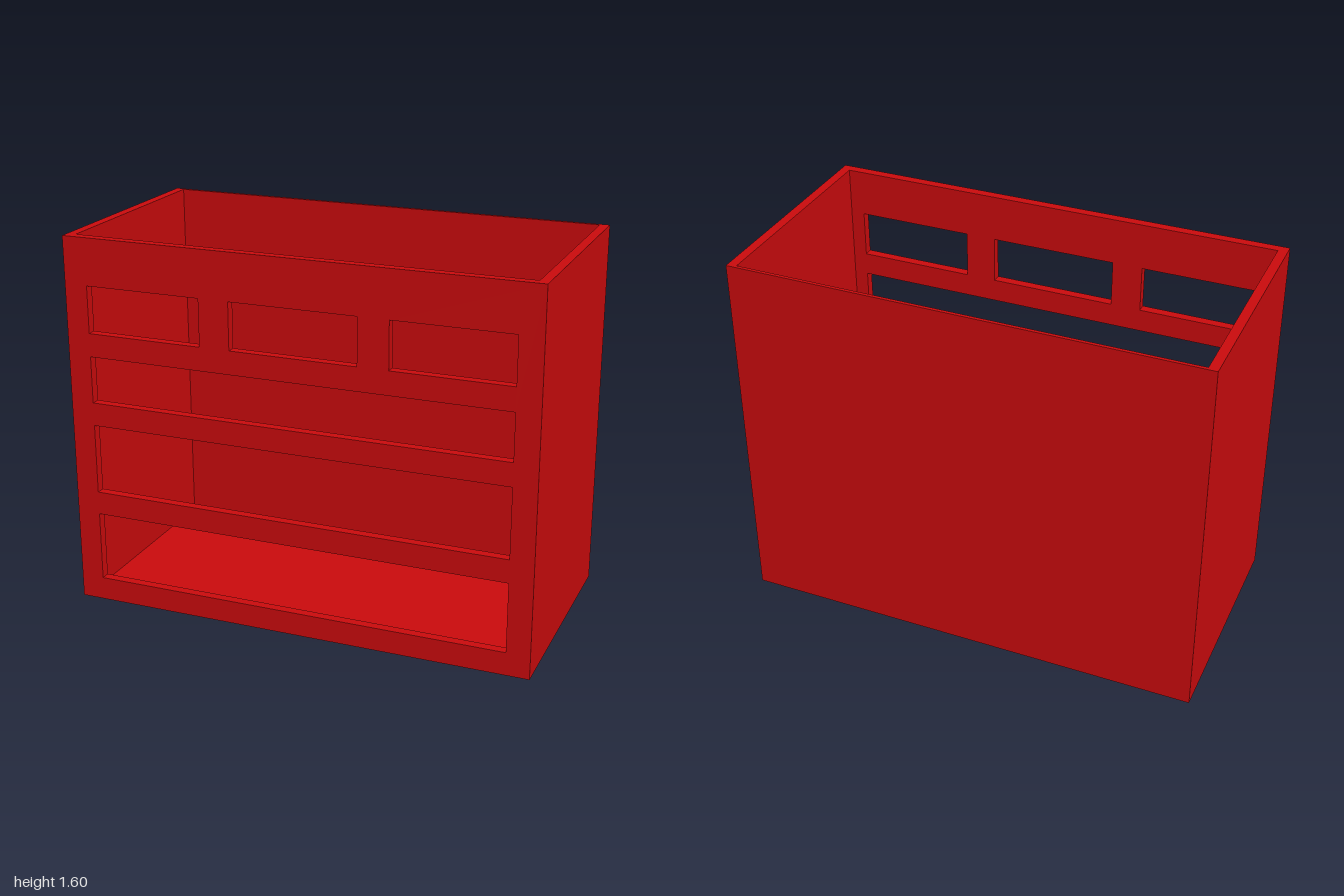
import * as THREE from 'three';

export function createModel() {
  const model = new THREE.Group();
  model.name = 'dresserFrame';
  const red = new THREE.MeshStandardMaterial({ color: 0xcc0b0d });
  red.name = 'red';

  const W = 2, H = 1.6, D = 1;
  const wall = 0.04, back = 0.015, floor = 0.02;

  // Rectangle path, usable as an outline or a hole
  const rect = (path, x0, y0, x1, y1) => {
    path.moveTo(x0, y0);
    path.lineTo(x1, y0);
    path.lineTo(x1, y1);
    path.lineTo(x0, y1);
    path.closePath();
    return path;
  };
  const add = (name, geometry, x, y, z) => {
    const mesh = new THREE.Mesh(geometry, red);
    mesh.name = name;
    mesh.position.set(x, y, z);
    model.add(mesh);
  };

  // Front panel with the drawer openings: three small on top, three wide below
  const openings = [
    [-0.9, 1.2, -0.4, 1.4], [-0.27, 1.2, 0.27, 1.4], [0.4, 1.2, 0.9, 1.4],
    [-0.9, 0.9, 0.9, 1.1], [-0.9, 0.5, 0.9, 0.8], [-0.9, 0.1, 0.9, 0.4],
  ];
  const front = rect(new THREE.Shape(), -W / 2, 0, W / 2, H);
  for (const o of openings) front.holes.push(rect(new THREE.Path(), ...o));
  add('frontPanel', new THREE.ExtrudeGeometry(front, { depth: wall, bevelEnabled: false }), 0, 0, D / 2 - wall);

  // Back panel
  add('backPanel', new THREE.BoxGeometry(W, H, back), 0, H / 2, -D / 2 + back / 2);

  // Side panels between front and back
  const depth = D - wall - back, midZ = (back - wall) / 2;
  for (const [name, s] of [['leftSide', 1], ['rightSide', -1]]) {
    add(name, new THREE.BoxGeometry(wall, H, depth), s * (W - wall) / 2, H / 2, midZ);
  }

  // Floor; the top stays open
  add('floor', new THREE.BoxGeometry(W - 2 * wall, floor, depth), 0, floor / 2, midZ);

  return model;
}
